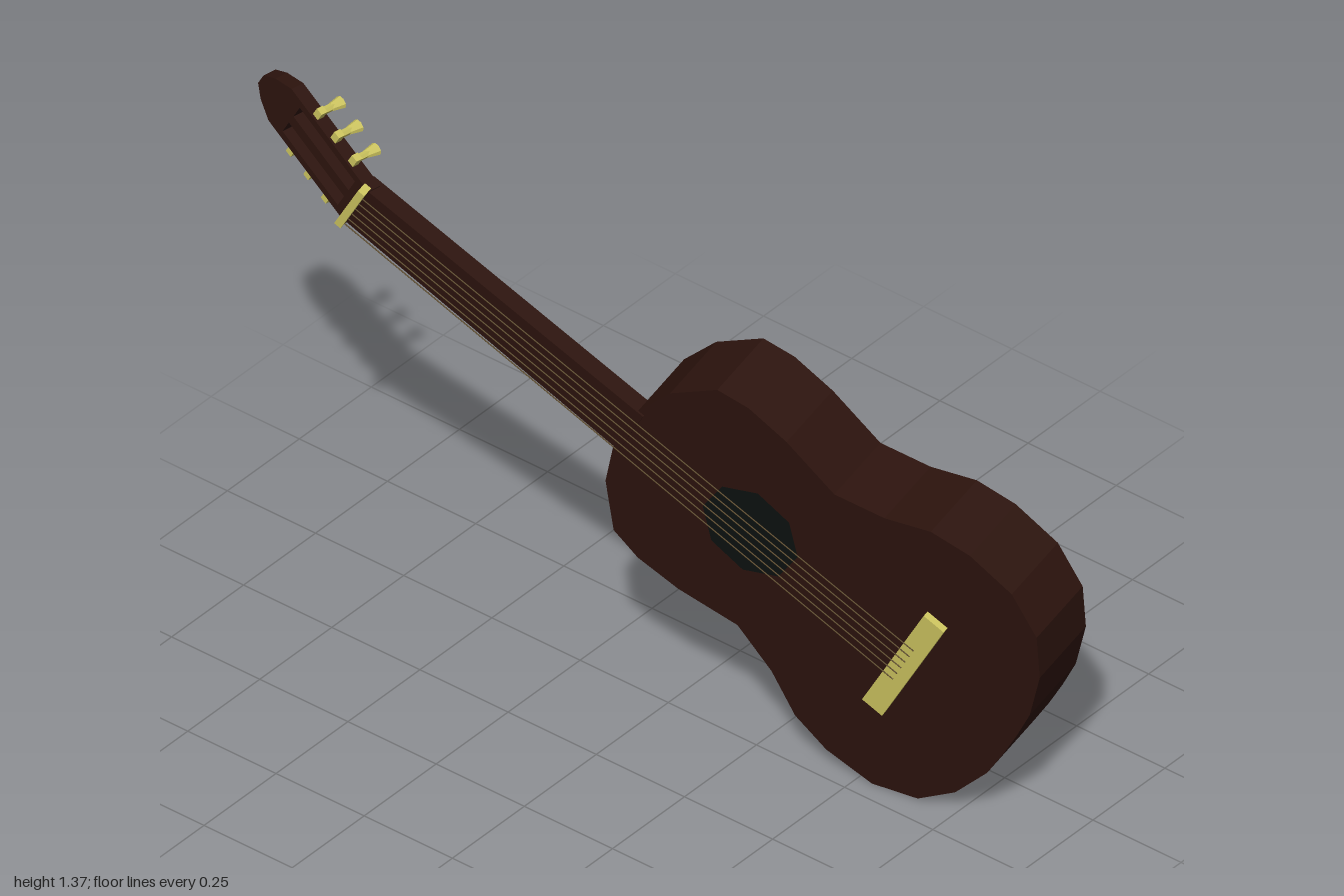
import * as THREE from 'three';

const wood = new THREE.MeshStandardMaterial({ color: 0x2c130d, flatShading: true });
const dark = new THREE.MeshStandardMaterial({ color: 0x0c1110, flatShading: true });
const gold = new THREE.MeshStandardMaterial({ color: 0xcdc55f, flatShading: true });
const wire = new THREE.MeshStandardMaterial({ color: 0x5a4622 });

function part(parent, name, geometry, material, x = 0, y = 0, z = 0) {
  const mesh = new THREE.Mesh(geometry, material);
  mesh.name = name;
  mesh.position.set(x, y, z);
  parent.add(mesh);
  return mesh;
}

// Plate whose front face lies at z = 0 and which is `depth` thick behind it
function plate(shape, depth) {
  return new THREE.ExtrudeGeometry(shape, { depth, bevelEnabled: false }).translate(0, 0, -depth);
}

// Closed shape from one half of an outline, mirrored across the x axis
function mirrored(half) {
  const pts = half.map(([x, y]) => new THREE.Vector2(x, y));
  const other = half.map(([x, y]) => new THREE.Vector2(x, -y)).reverse();
  return new THREE.Shape([...pts, ...other]);
}

function rod(parent, name, a, b, radius, material, sides) {
  const dir = b.clone().sub(a);
  const mesh = part(parent, name, new THREE.CylinderGeometry(radius, radius, dir.length(), sides), material);
  mesh.position.copy(a).add(b).multiplyScalar(0.5);
  mesh.quaternion.setFromUnitVectors(new THREE.Vector3(0, 1, 0), dir.normalize());
}

// Head: slotted plate with three pegs per side, extending along -x
function buildHead() {
  const head = new THREE.Group();
  head.name = 'head';
  const shape = mirrored([[0.01, 0.067], [-0.28, 0.067], [-0.325, 0.043], [-0.352, 0.016]]);
  for (const s of [-1, 1]) {
    shape.holes.push(new THREE.Path([
      [-0.03, 0.013 * s], [-0.238, 0.013 * s], [-0.238, 0.05 * s], [-0.03, 0.05 * s],
    ].map(([x, y]) => new THREE.Vector2(x, y))));
  }
  part(head, 'headPlate', plate(shape, 0.036), wood);
  for (const s of [-1, 1]) {
    for (const x of [-0.066, -0.132, -0.198]) {
      const peg = new THREE.Group();
      peg.name = 'tuningPeg';
      peg.position.set(x, 0.08 * s, 0);
      head.add(peg);
      part(peg, 'pegMount', new THREE.BoxGeometry(0.018, 0.028, 0.018), gold, 0, -0.004 * s, -0.015);
      rod(peg, 'pegShaft', new THREE.Vector3(0, 0, -0.01), new THREE.Vector3(0, 0, -0.055), 0.009, gold, 6);
      const button = part(peg, 'pegButton', new THREE.CylinderGeometry(0.016, 0.01, 0.032, 8), gold, 0, 0, -0.063);
      button.rotation.x = -Math.PI / 2;
      button.scale.z = 0.8;
    }
  }
  return head;
}

export function createModel() {
  const model = new THREE.Group();
  model.name = 'guitar';

  // Leaning pose: x runs down the strings, y across them, z out of the soundboard
  const guitar = new THREE.Group();
  guitar.name = 'leaningGuitar';
  const n = new THREE.Vector3(0.141, -0.0905, 0.986).normalize();
  const v = n.clone().cross(new THREE.Vector3(0.857, -0.489, -0.167)).normalize();
  const u = v.clone().cross(n);
  guitar.quaternion.setFromRotationMatrix(new THREE.Matrix4().makeBasis(u, v, n));
  guitar.position.set(0.272, 0.627, 0.046);
  model.add(guitar);

  // Body: waisted outline with flat front and back
  const outline = mirrored([
    [-0.357, 0.07], [-0.323, 0.187], [-0.244, 0.3], [-0.165, 0.32], [-0.053, 0.314],
    [0.1, 0.28], [0.22, 0.327], [0.32, 0.393], [0.42, 0.415], [0.545, 0.405],
    [0.646, 0.344], [0.704, 0.245], [0.735, 0.124], [0.739, 0.04],
  ]);
  part(guitar, 'body', plate(outline, 0.197), wood);

  // Sound hole and bridge
  const hole = part(guitar, 'soundHole', new THREE.CircleGeometry(0.123, 8), dark, 0, 0, 0.003);
  hole.rotation.z = 0.3;
  part(guitar, 'bridge', new THREE.BoxGeometry(0.057, 0.357, 0.017), gold, 0.447, -0.004, 0.0085);

  // Neck: slightly tapered towards the nut
  const neck = mirrored([[-0.34, 0.071], [-1.135, 0.064]]);
  part(guitar, 'neck', plate(neck, 0.045), wood, 0, 0, 0.005);
  part(guitar, 'nut', new THREE.BoxGeometry(0.018, 0.138, 0.03), gold, -1.13, 0, 0.011);

  // Strings
  for (let i = 0; i < 6; i++) {
    const t = i / 2.5 - 1;
    rod(guitar, 'string', new THREE.Vector3(-1.13, 0.052 * t, 0.022),
      new THREE.Vector3(0.447, 0.06 * t, 0.018), 0.0016, wire, 5);
  }

  // Head, bent back from the neck
  const head = buildHead();
  head.position.set(-1.13, 0, 0.004);
  head.rotation.y = -0.3;
  guitar.add(head);
  return model;
}
